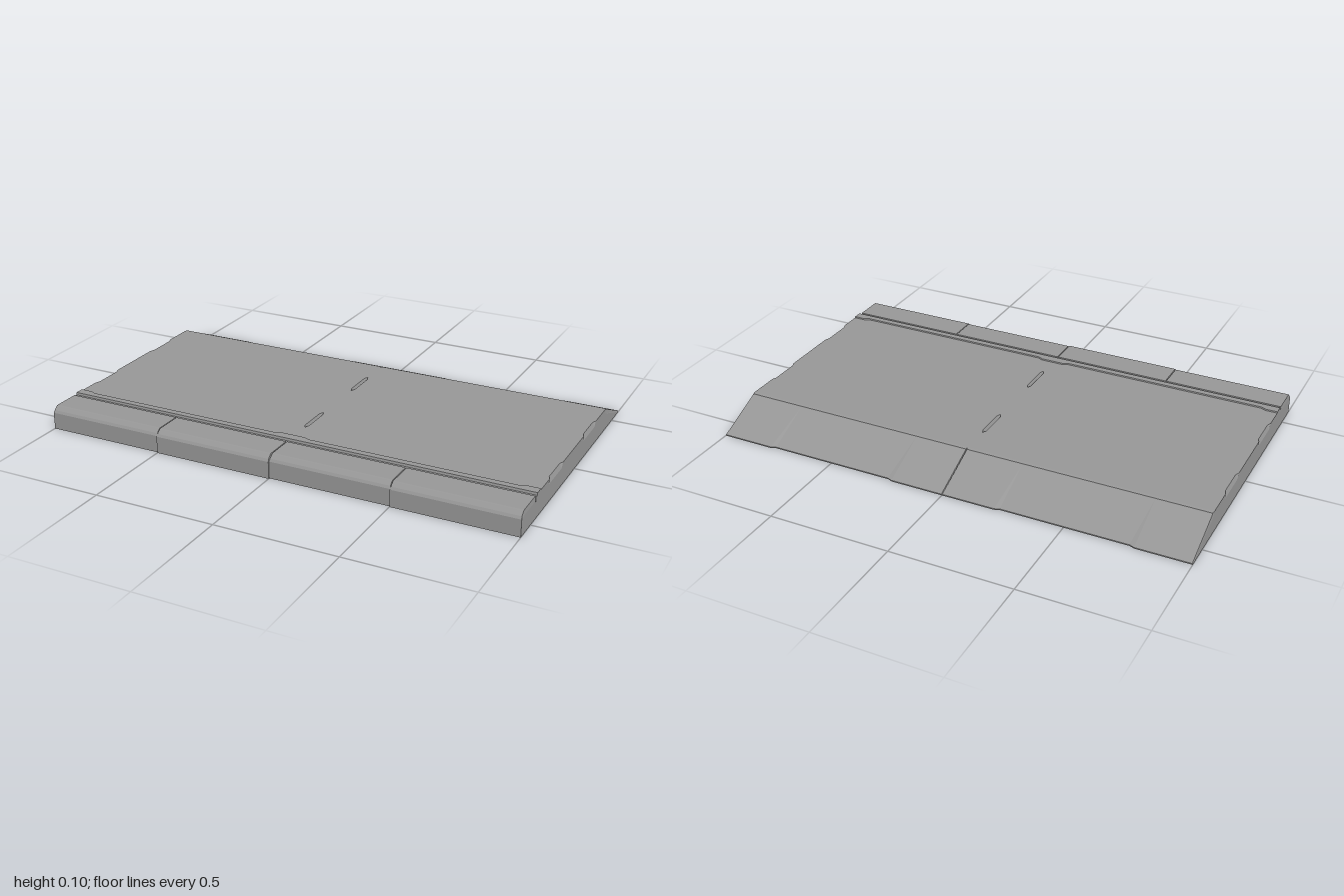
import * as THREE from 'three';

const material = new THREE.MeshStandardMaterial({
  color: 0x979797, flatShading: true, side: THREE.DoubleSide,
});

// Stations across the width; the close pairs carry the worn edges
const STATIONS = [0, 0.05, 0.07, 0.22, 0.24, 0.76, 0.78, 0.93, 0.95, 1];
const BEVEL_DEPTH = 0.02;

// Shell, open underneath, swept over rows that run from front to back.
// Row: [z, y, side inset, z in the worn middle, where the wear starts]
function shell(name, x0, x1, rows) {
  const pos = [];
  const quad = (a, b, c, d) => pos.push(...a, ...b, ...c, ...a, ...c, ...d);
  const grid = rows.map(([z, y, inset = 0, zMid = z, margin = 0]) => STATIONS.map((u) => {
    const t = THREE.MathUtils.clamp((Math.min(u, 1 - u) - margin) / 0.02, 0, 1);
    return [THREE.MathUtils.lerp(x0 + inset, x1 - inset, u), y, THREE.MathUtils.lerp(z, zMid, t)];
  }));
  // Side outline from the top edge, over the bevel, to the ground
  const side = ([x, y, z], xWall) => [
    [x, y, z], [xWall, Math.max(0, y - BEVEL_DEPTH), z], [xWall, 0, z],
  ];
  const last = STATIONS.length - 1;
  for (let r = 0; r < rows.length - 1; r++) {
    const p = grid[r], q = grid[r + 1];
    for (let c = 0; c < last; c++) quad(p[c], p[c + 1], q[c + 1], q[c]);
    const p1 = side(p[last], x1), q1 = side(q[last], x1);
    const p0 = side(p[0], x0), q0 = side(q[0], x0);
    for (let k = 0; k < 2; k++) {
      quad(p1[k + 1], q1[k + 1], q1[k], p1[k]);
      quad(q0[k + 1], p0[k + 1], p0[k], q0[k]);
    }
  }
  const geometry = new THREE.BufferGeometry();
  geometry.setAttribute('position', new THREE.Float32BufferAttribute(pos, 3));
  geometry.computeVertexNormals();
  const mesh = new THREE.Mesh(geometry, material);
  mesh.name = name;
  return mesh;
}

// Chip in the top side edges, centred on z
const chip = (z) => [
  [z + 0.08, 0.095], [z + 0.06, 0.095, 0.008],
  [z - 0.06, 0.095, 0.008], [z - 0.08, 0.095],
];

export function createModel() {
  const group = new THREE.Group();
  group.name = 'pavement';

  // Two paving slabs, each with a raised strip in front and a ramp behind
  const slabRows = [
    [0.455, 0], [0.455, 0.09], [0.441, 0.09], [0.439, 0.1],
    [0.402, 0.1, 0, 0.412, 0.05], [0.4, 0.095, 0, 0.41, 0.05],
    ...chip(0.23), ...chip(-0.18),
    [-0.385, 0.095], [-0.398, 0.094, 0.002], [-0.4, 0.091, 0.002],
    [-0.6, 0.005, 0.002, -0.592, 0.22], [-0.6, 0, 0, -0.592, 0.22],
  ];
  group.add(shell('rightSlab', -1, 0, slabRows), shell('leftSlab', 0, 1, slabRows));

  // Four kerb stones with a rounded front edge, set slightly out of line
  for (let i = 0; i < 4; i++) {
    const front = i % 2 ? 0.6 : 0.595;
    const x = -1 + i * 0.5;
    group.add(shell(`kerbStone${i + 1}`, x, x + 0.5, [
      [front, 0], [front, 0.07], [front - 0.006, 0.08, 0.002],
      [front - 0.022, 0.094, 0.002], [front - 0.027, 0.095, 0.002],
      [0.457, 0.095, 0.002], [0.455, 0.09, 0.002],
    ]));
  }
  return group;
}
